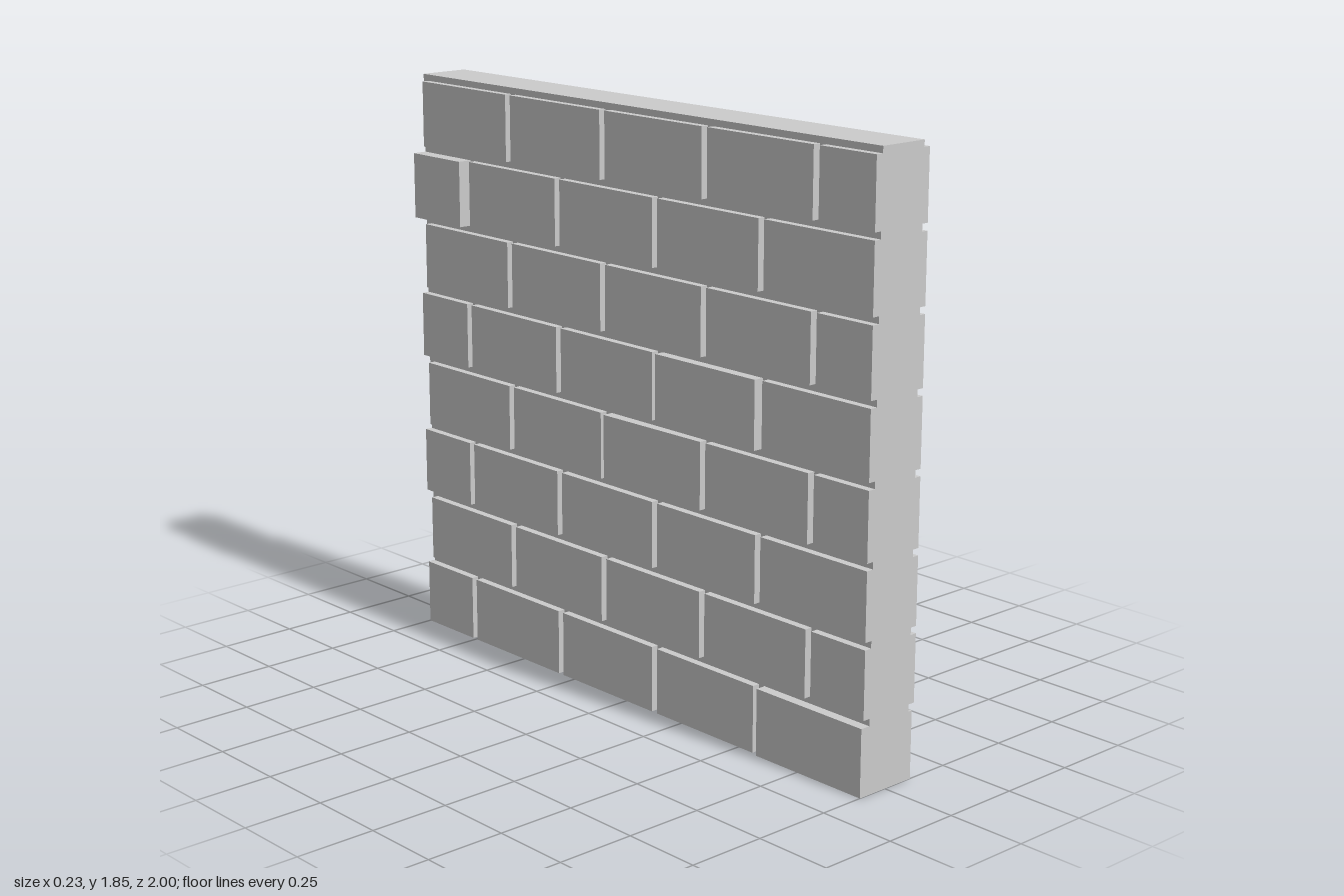
import * as THREE from 'three';

export function createModel() {
  const wall = new THREE.Group();
  wall.name = 'brickWall';
  const material = new THREE.MeshStandardMaterial({ color: 0xcccccc, flatShading: true });

  function addBox(name, w, h, d, x, y, z) {
    const mesh = new THREE.Mesh(new THREE.BoxGeometry(w, h, d), material);
    mesh.name = name;
    mesh.position.set(x, y, z);
    wall.add(mesh);
    return mesh;
  }

  // Mortar core, full height and length
  addBox('mortarCore', 0.164, 1.854, 2, 0.011, 0.927, 0);

  // Through-bricks in running bond
  const rows = 8, rowPitch = 0.232, brickHeight = 0.21;
  const pitch = 0.4415, brickLength = 0.419;
  const thickness = 0.21, centreX = 0.0097;

  // Loose bricks, keyed by row and position: sideways shift and slight turn
  const loose = {
    '0,0': { shift: -0.008, turn: 0 },
    '3,2': { shift: -0.006, turn: 0.02 },
    '4,1': { shift: -0.008, turn: 0 },
    '6,4': { shift: -0.022, turn: 0 },
  };

  for (let row = 0; row < rows; row++) {
    const firstEnd = row % 2 ? 0.791 : 0.582; // rear end of the first, cut brick
    for (let i = 0; i < 5; i++) {
      const back = Math.max(firstEnd - i * pitch, -1);
      const front = Math.min(firstEnd - i * pitch + brickLength, 1);
      const { shift, turn } = loose[`${row},${i}`] ?? { shift: 0, turn: 0 };
      const brick = addBox('brick', thickness, brickHeight, front - back,
        centreX + shift, row * rowPitch + brickHeight / 2, (front + back) / 2);
      brick.rotation.y = turn;
    }
  }
  return wall;
}
